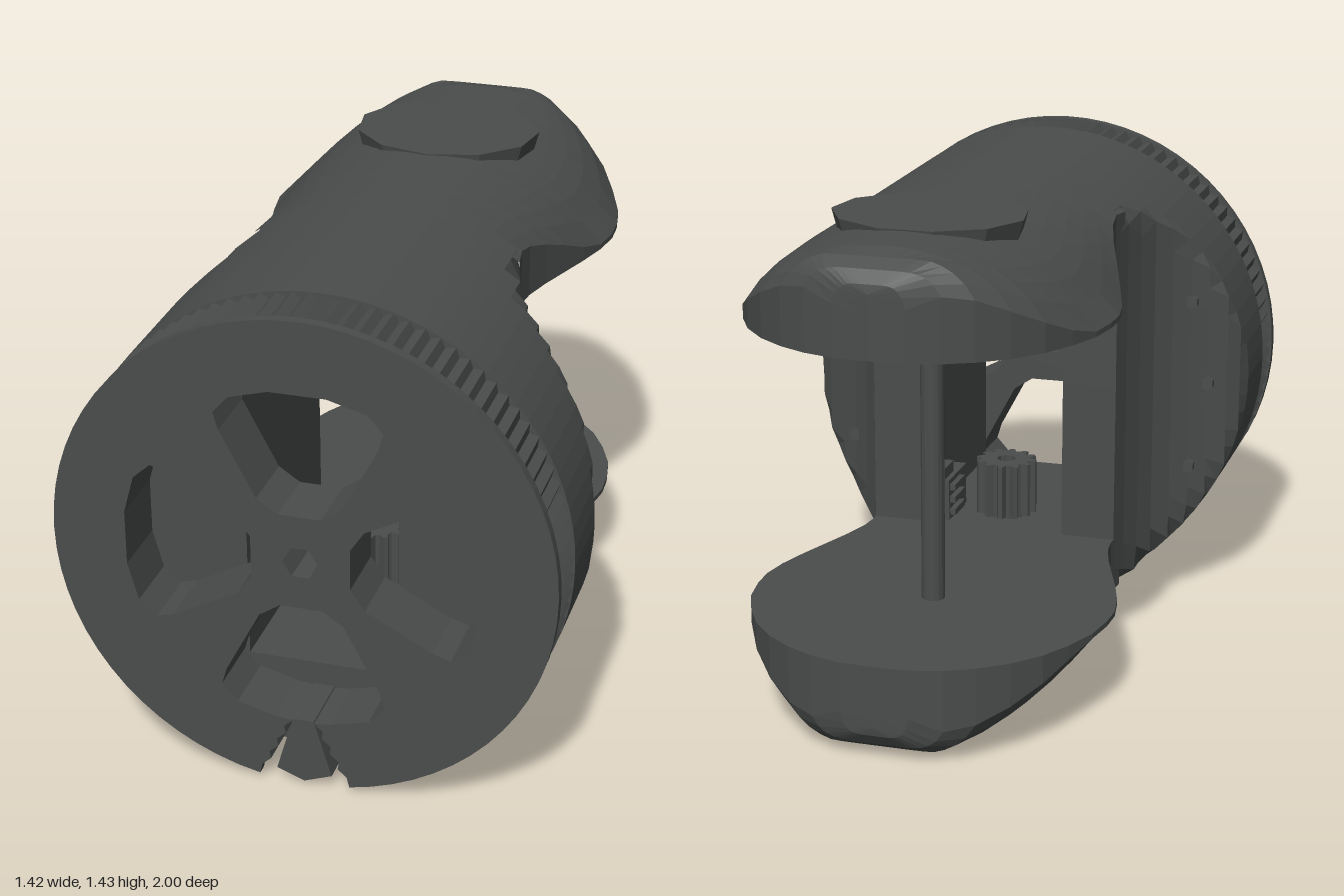
import * as THREE from 'three';

const R = 0.71, SLOT_X = 0.22, SLOT_Y = 0.43;   // tube radius, half size of the inner opening
const mat = new THREE.MeshStandardMaterial({ color: 0x4a4d4c, flatShading: true });

function add(parent, name, geo, x = 0, y = 0, z = 0) {
  const m = new THREE.Mesh(geo, mat);
  m.name = name;
  m.position.set(x, y, z);
  parent.add(m);
  return m;
}

// Skin closed cross-sections, counter-clockwise seen from +z, in rising z
function loft(rows) {
  const n = rows[0].length, pos = rows.flat(2), idx = [];
  for (let i = 0; i < rows.length - 1; i++)
    for (let j = 0; j < n; j++) {
      const k = (j + 1) % n, a = i * n + j, b = i * n + k, c = a + n, d = b + n;
      idx.push(a, b, d, a, d, c);
    }
  const g = new THREE.BufferGeometry();
  g.setAttribute('position', new THREE.Float32BufferAttribute(pos, 3));
  g.setIndex(idx);
  g.computeVertexNormals();
  return g;
}

// Tube body with scooped flanks and a rectangular opening right through
function bodyGeometry() {
  const corner = Math.atan2(SLOT_Y, SLOT_X), angles = [];
  const span = (a, b, n) => { for (let i = 0; i < n; i++) angles.push(a + (b - a) * i / n); };
  span(-corner, corner, 28);
  span(corner, Math.PI - corner, 14);
  span(Math.PI - corner, Math.PI + corner, 28);
  span(Math.PI + corner, 2 * Math.PI - corner, 14);
  const ring = (z, radius) => angles.map(a => {
    const r = radius(Math.abs(Math.cos(a)) + 1e-6, Math.abs(Math.sin(a)) + 1e-6);
    return [r * Math.cos(a), r * Math.sin(a), z];
  });
  const outer = [[0.15, 0.385], [0.22, 0.4], [0.29, 0.425], [0.35, 0.455], [0.4, 0.5], [0.44, 0.55],
    [0.47, 0.6], [0.5, 0.655], [0.53, 0.69], [0.57, 0.71], [0.81, 0.71]]
    .map(([z, w]) => ring(z, c => Math.min(R, w / c)));
  const inner = [0.81, 0.15].map(z => ring(z, (c, s) => Math.min(SLOT_X / c, SLOT_Y / s)));
  return loft([...outer, ...inner, outer[0]]);
}

// One jaw: flat inner face, outer face following the tube, rounded tip
function jawGeometry() {
  const stations = [[-1, 0], [-0.995, 0.1], [-0.97, 0.19], [-0.93, 0.27], [-0.87, 0.35], [-0.79, 0.42],
    [-0.7, 0.47], [-0.6, 0.51], [-0.5, 0.527], [-0.42, 0.53], [-0.33, 0.515], [-0.23, 0.485],
    [-0.13, 0.45], [-0.03, 0.415], [0.06, 0.39], [0.13, 0.383], [0.2, 0.393]];
  const n = 18;
  return loft(stations.map(([z, w]) => {
    const t = Math.max(0, (-0.85 - z) / 0.15);
    const cap = 0.61 + 0.1 * Math.sqrt(Math.max(0, 1 - t * t));
    const soft = 0.06 * Math.min(1, Math.max(0, (0.15 - z) * 2));
    const row = [[-w, SLOT_Y, z], [w, SLOT_Y, z]];
    for (let i = 0; i <= n; i++) {
      const u = 1 - 2 * i / n, x = w * u;
      const y = Math.min(cap, Math.sqrt(R * R - x * x)) - soft * u ** 6;
      row.push([x, Math.max(SLOT_Y + 0.015, y), z]);
    }
    return row;
  }));
}

// Spoked wheel slice; the lower window opens to the rim through a toothed notch
function wheelGeometry(depth, radius, steps) {
  const half = [[0.5, 0.08], [0.47, 0.19], [0.42, 0.235], [0.37, 0.22], [0.18, 0.12], [0.14, 0.06]];
  const pts = [];
  const gap = 0.185;
  for (let i = 0; i <= steps; i++) {
    const a = -Math.PI / 2 + gap + (2 * Math.PI - 2 * gap) * i / steps;
    pts.push([radius(i) * Math.cos(a), radius(i) * Math.sin(a)]);
  }
  const teeth = [];
  for (let i = 1; i <= 8; i++) {
    const k = i / 8;
    teeth.push([0.125 - 0.09 * k + (i % 2 ? 0.01 : -0.005), -0.69 + 0.185 * k]);
  }
  pts.push(...teeth.map(([x, y]) => [-x, y]), ...half.map(([r, t]) => [-t, -r]));
  pts.push(...half.slice().reverse().map(([r, t]) => [t, -r]), ...teeth.reverse());
  const shape = new THREE.Shape(pts.map(p => new THREE.Vector2(...p)));
  const win = [...half, ...half.slice().reverse().map(([r, t]) => [r, -t])];
  for (const turn of [0, Math.PI / 2, Math.PI])
    shape.holes.push(new THREE.Path(win.map(p =>
      new THREE.Vector2(...p).rotateAround(new THREE.Vector2(), turn))));
  shape.holes.push(new THREE.Path().absarc(0, 0, 0.05, 0, 2 * Math.PI, true));
  return new THREE.ExtrudeGeometry(shape, { depth, bevelEnabled: false, curveSegments: 3 });
}

// Small toothed pinion with a bore, standing upright
function pinionGeometry() {
  const pts = [];
  for (let i = 0; i < 48; i++) {
    const a = i / 48 * 2 * Math.PI, r = i % 4 < 2 ? 0.095 : 0.075;
    pts.push(new THREE.Vector2(r * Math.cos(a), r * Math.sin(a)));
  }
  const s = new THREE.Shape(pts);
  s.holes.push(new THREE.Path().absarc(0, 0, 0.03, 0, 2 * Math.PI, true));
  return new THREE.ExtrudeGeometry(s, { depth: 0.17, bevelEnabled: false, curveSegments: 5 })
    .translate(0, 0, -0.085).rotateX(Math.PI / 2);
}

export function createModel() {
  const model = new THREE.Group();
  model.name = 'clevisHousing';
  const core = new THREE.Group();   // built around the tube axis, then raised
  core.name = 'housing';
  core.position.y = R;
  model.add(core);

  add(core, 'body', bodyGeometry());

  // Front wheel: ridged rim, smooth face plate and the wedge in the notch
  add(core, 'ridgedRim', wheelGeometry(0.16, i => (i % 2 ? 0.708 : 0.69), 180), 0, 0, 0.81);
  add(core, 'facePlate', wheelGeometry(0.03, () => R, 64), 0, 0, 0.97);
  const wedge = new THREE.Shape([[-0.03, -0.5], [-0.08, -0.67], [0, -0.7], [0.08, -0.67], [0.03, -0.5]]
    .map(p => new THREE.Vector2(...p)));
  add(core, 'notchWedge', new THREE.ExtrudeGeometry(wedge, { depth: 0.19, bevelEnabled: false }), 0, 0, 0.81);

  // Upper and lower halves
  const jaw = jawGeometry(), pinion = pinionGeometry();
  for (const [side, turn] of [['upper', 0], ['lower', Math.PI]]) {
    const s = turn ? -1 : 1;
    const arm = new THREE.Group();
    arm.name = side + 'Arm';
    arm.rotation.z = turn;
    core.add(arm);
    add(arm, side + 'Jaw', jaw);
    const pad = add(arm, side + 'Pad', new THREE.CylinderGeometry(0.28, 0.265, 0.055, 11), 0, 0.686, -0.47);
    pad.scale.z = 0.86;
    add(arm, side + 'Pinion', pinion, 0, 0.335, 0.3);
    add(arm, side + 'PinionHub', new THREE.CylinderGeometry(0.065, 0.065, 0.02, 12, 1, true), 0, 0.425, 0.3);

    // Latch block with a stepped catch beside each pinion
    const latch = new THREE.Group();
    latch.name = side + 'Latch';
    latch.position.set(s * 0.175, 0.32, 0.2);
    arm.add(latch);
    add(latch, 'latchBlock', new THREE.BoxGeometry(0.09, 0.13, 0.18), 0, 0.02, 0);
    for (let i = 0; i < 3; i++)
      add(latch, 'latchTooth', new THREE.BoxGeometry(0.025, 0.02, 0.1), -s * 0.05, -0.02 + i * 0.04, -0.03);
    add(latch, 'latchFoot', new THREE.BoxGeometry(0.06, 0.04, 0.09), 0, -0.06, -0.04);
  }

  // Cross pin between the jaws
  add(core, 'crossPin', new THREE.CylinderGeometry(0.034, 0.034, 2 * SLOT_Y + 0.02, 16), 0, 0, -0.46);

  // Screw heads on both flanks
  const screw = new THREE.CylinderGeometry(0.022, 0.022, 0.06, 6).rotateX(Math.PI / 2);
  for (const s of [-1, 1])
    for (const [x, y] of [[0.6, 0], [0.55, 0.265], [0.55, -0.265]])
      add(core, 'screwHead', screw, s * x, y, x > 0.57 ? 0.49 : 0.46);

  return model;
}
